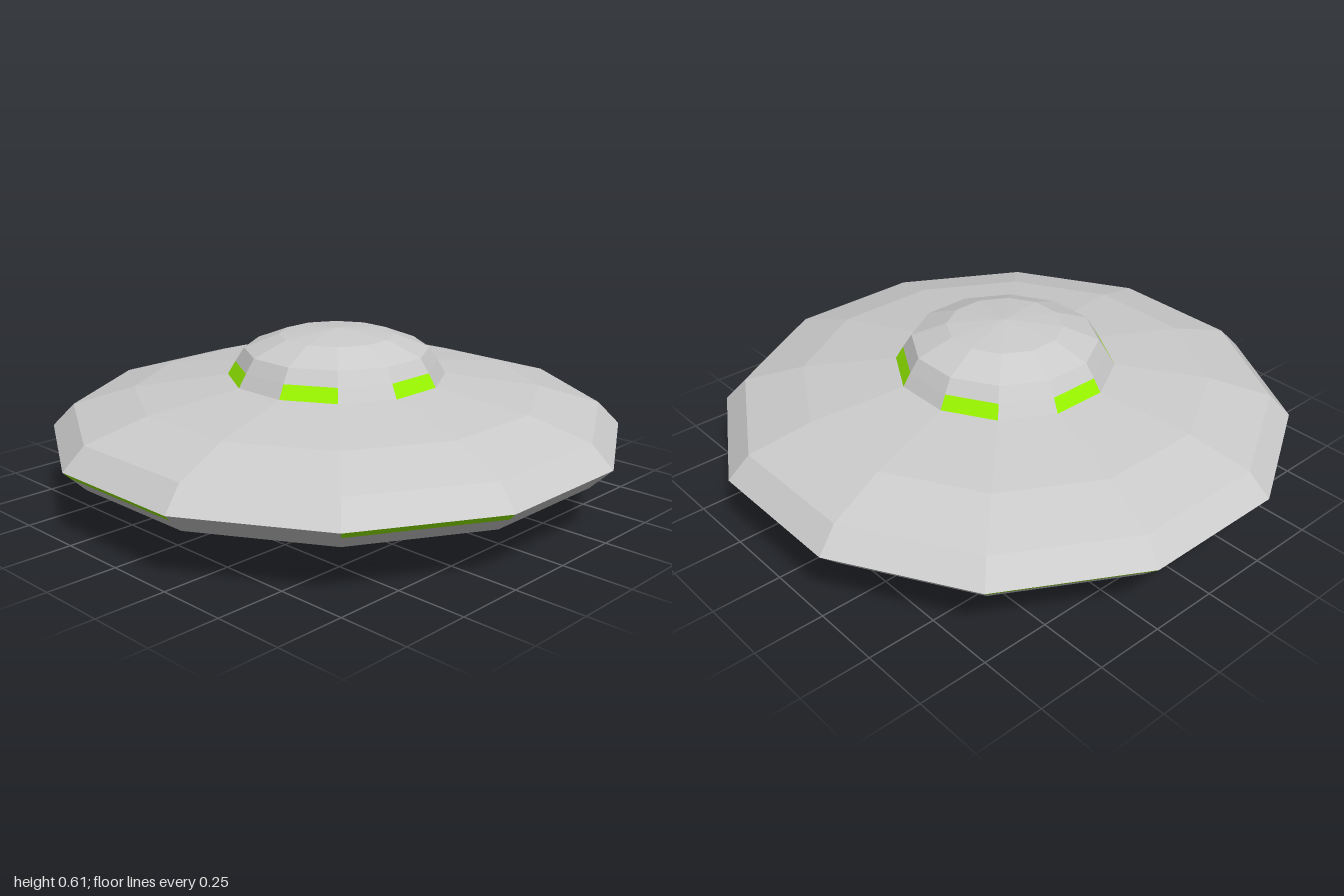
import * as THREE from 'three';

const SIDES = 12;
const STEP = (Math.PI * 2) / SIDES;
const TO_CORNER = 1 / Math.cos(STEP / 2); // flat-to-flat half width -> corner radius

const grey = new THREE.MeshStandardMaterial({ color: 0xcccccc, flatShading: true });
const green = new THREE.MeshStandardMaterial({ color: 0x99f500, flatShading: true });

// Faceted ring of `count` sides starting at side `first`; side 0 faces +z.
// Profile points are [half width across flats, y], running upwards on the outside.
function facets(name, profile, material, first = 0, count = SIDES) {
  const points = profile.map(([r, y]) => new THREE.Vector2(r * TO_CORNER, y));
  const geometry = new THREE.LatheGeometry(points, count, (first - 0.5) * STEP, count * STEP);
  const mesh = new THREE.Mesh(geometry, material);
  mesh.name = name;
  return mesh;
}

// Band whose sides alternate between grey panels and lit green ones.
function alternatingBand(name, profile, greenOnEven) {
  const band = new THREE.Group();
  band.name = name;
  for (let i = 0; i < SIDES; i++) {
    const lit = (i % 2 === 0) === greenOnEven;
    band.add(facets(lit ? 'light' : 'panel', profile, lit ? green : grey, i, 1));
  }
  return band;
}

export function createModel() {
  const model = new THREE.Group();
  model.name = 'flyingSaucer';

  // Recessed glowing cone and the bevelled ring the saucer stands on
  model.add(facets('engineGlow', [[0, 0.2], [0.28, 0.07]], green));
  model.add(facets('baseRing', [
    [0.28, 0.07], [0.28, 0.02], [0.3, 0], [0.33, 0], [0.35, 0.012], [0.38, 0.06],
  ], grey));

  // Disc: underside, lit rim, upper side
  model.add(facets('lowerHull', [[0.38, 0.06], [0.71, 0.108], [0.925, 0.175], [0.975, 0.225]], grey));
  model.add(alternatingBand('rimLights', [[0.975, 0.225], [1, 0.25]], false));
  model.add(facets('upperHull', [[1, 0.25], [0.925, 0.33], [0.71, 0.395], [0.38, 0.442]], grey));

  // Cockpit: window band and domed roof
  model.add(alternatingBand('windows', [[0.38, 0.442], [0.353, 0.49]], true));
  model.add(facets('domeRoof', [[0.353, 0.49], [0.322, 0.54], [0.2, 0.59], [0, 0.612]], grey));

  return model;
}
